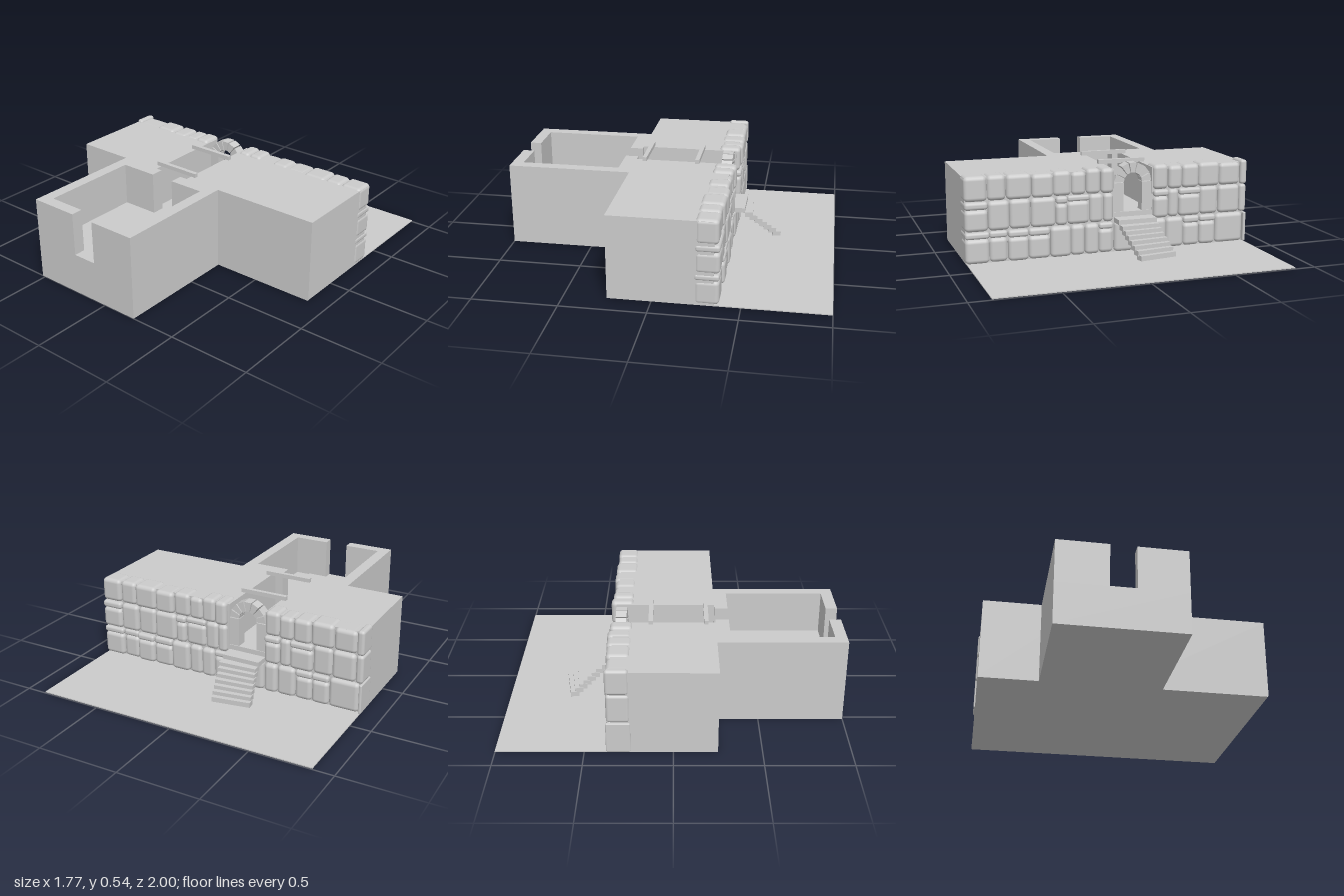
import * as THREE from 'three';
import { RoundedBoxGeometry } from 'three/addons/geometries/RoundedBoxGeometry.js';

const material = new THREE.MeshStandardMaterial({ color: 0xcccccc });

function add(parent, name, geometry) {
  const mesh = new THREE.Mesh(geometry, material);
  mesh.name = name;
  parent.add(mesh);
  return mesh;
}

// Box given by its limits on each axis
function box(parent, name, [x0, x1], [y0, y1], [z0, z1]) {
  const mesh = add(parent, name, new THREE.BoxGeometry(x1 - x0, y1 - y0, z1 - z0));
  mesh.position.set((x0 + x1) / 2, (y0 + y1) / 2, (z0 + z1) / 2);
  return mesh;
}

// Rounded stone given by its limits on each axis
function stone(parent, [x0, x1], [y0, y1], [z0, z1]) {
  const size = [x1 - x0, y1 - y0, z1 - z0];
  const radius = Math.min(0.025, Math.min(...size) * 0.4);
  const mesh = add(parent, 'wallStone', new RoundedBoxGeometry(...size, 3, radius));
  mesh.position.set((x0 + x1) / 2, (y0 + y1) / 2, (z0 + z1) / 2);
}

// Floor plan outline of [x, z] points raised between two heights
function plan(parent, name, points, y0, y1) {
  const shape = new THREE.Shape(points.map(([x, z]) => new THREE.Vector2(x, -z)));
  const geometry = new THREE.ExtrudeGeometry(shape, { depth: y1 - y0, bevelEnabled: false });
  geometry.rotateX(-Math.PI / 2).translate(0, y0, 0);
  return add(parent, name, geometry);
}

let seed = 7;
function random() {
  seed = (seed * 16807) % 2147483647;
  return seed / 2147483647;
}

export function createModel() {
  const model = new THREE.Group();
  model.name = 'burialMound';
  const doorX = -0.14, floorY = 0.25, topY = 0.51;

  // Ground sheet
  box(model, 'ground', [-0.875, 0.875], [0.004, 0.01], [-1, 0.25]);

  // Earth mass on both sides of an open passage
  box(model, 'earthRight', [-0.875, -0.26], [0.01, topY], [-0.35, 0.25]);
  box(model, 'earthLeft', [-0.02, 0.88], [0.01, topY], [-0.35, 0.25]);
  box(model, 'passageFloor', [-0.26, -0.02], [0.01, floorY], [-0.35, 0.25]);

  // Roofless chamber with a slot in its front and back walls
  const chamber = new THREE.Group();
  chamber.name = 'chamber';
  model.add(chamber);
  box(chamber, 'chamberFloor', [-0.52, 0.22], [0, floorY], [0.25, 1]);
  const chamberCentre = -0.15;
  for (const [side, slot] of [[-1, -0.22], [1, -0.07]]) {
    const outer = chamberCentre + side * 0.37, inner = chamberCentre + side * 0.3;
    plan(chamber, 'chamberWall', [
      [slot, 0.25], [outer, 0.25], [outer, 1], [slot, 1],
      [slot, 0.93], [inner, 0.93], [inner, 0.33], [slot, 0.33],
    ], floorY, topY);
  }

  // Beams over the passage
  for (const z of [-0.135, 0.195]) {
    box(model, 'beam', [-0.29, 0.01], [topY, 0.535], [z - 0.013, z + 0.013]);
  }

  // Stone facing: courses of irregular stones, some with a thin filler on top
  const wall = new THREE.Group();
  wall.name = 'stoneWall';
  model.add(wall);
  const edgesRight = [-0.885, -0.84, -0.70, -0.56, -0.45, -0.36, -0.265];
  const edgesLeft = [-0.01, 0.07, 0.16, 0.25, 0.36, 0.49, 0.64, 0.75, 0.885];
  const courses = [[0.012, 0.195], [0.2, 0.372], [0.374, 0.525]];
  courses.forEach(([y0, y1], row) => {
    for (const edges of [edgesRight, edgesLeft]) {
      // Shift the inner joints so that they differ from course to course
      const joints = edges.map((x, i) =>
        i === 0 || i === edges.length - 1 || row === 2 ? x : x + (random() - 0.5) * 0.05);
      for (let i = 0; i < joints.length - 1; i++) {
        const xs = [joints[i] + 0.001, joints[i + 1] - 0.001];
        const zs = [-0.385 + random() * 0.015, -0.235 - random() * 0.012];
        const top = y1 - (row === 2 ? random() * 0.015 : 0);
        if (row < 2 && random() < 0.45) {
          const split = y1 - 0.035 - random() * 0.012;
          stone(wall, xs, [y0, split], zs);
          stone(wall, xs, [split + 0.001, y1], zs);
        } else {
          stone(wall, xs, [y0, top], zs);
        }
      }
    }
  });
  // Stones beneath the doorway
  for (const x of [-0.26, -0.135]) stone(wall, [x, x + 0.12], [0.012, 0.2], [-0.38, -0.24]);

  // Doorway: two jambs and an arch of wedge stones
  const doorway = new THREE.Group();
  doorway.name = 'doorway';
  model.add(doorway);
  box(doorway, 'jamb', [-0.26, -0.198], [floorY, 0.425], [-0.345, -0.28]);
  box(doorway, 'jamb', [-0.082, -0.02], [floorY, 0.425], [-0.345, -0.28]);
  const count = 7, step = Math.PI / count, gap = 0.03;
  for (let i = 0; i < count; i++) {
    const a = i * step + gap, b = (i + 1) * step - gap;
    const corner = (r, t) => new THREE.Vector2(r * Math.cos(t), r * Math.sin(t));
    const wedge = new THREE.Shape([corner(0.058, a), corner(0.118, a), corner(0.118, b), corner(0.058, b)]);
    const mesh = add(doorway, 'archStone',
      new THREE.ExtrudeGeometry(wedge, { depth: 0.065, bevelEnabled: false }));
    mesh.position.set(doorX, 0.427, -0.345);
  }

  // Landing and curving stair
  const stair = new THREE.Group();
  stair.name = 'stair';
  model.add(stair);
  box(stair, 'landing', [-0.26, -0.02], [0.19, 0.22], [-0.435, -0.35]);
  const steps = 7;
  for (let i = 0; i < steps; i++) {
    const t = i / (steps - 1);
    const mesh = add(stair, 'step', new THREE.BoxGeometry(0.235, 0.03, 0.05));
    mesh.position.set(-0.14 - 0.045 * t, 0.178 - 0.137 * t, -0.455 - 0.165 * t);
    mesh.rotation.y = 0.06 + 0.1 * t;
  }

  return model;
}
